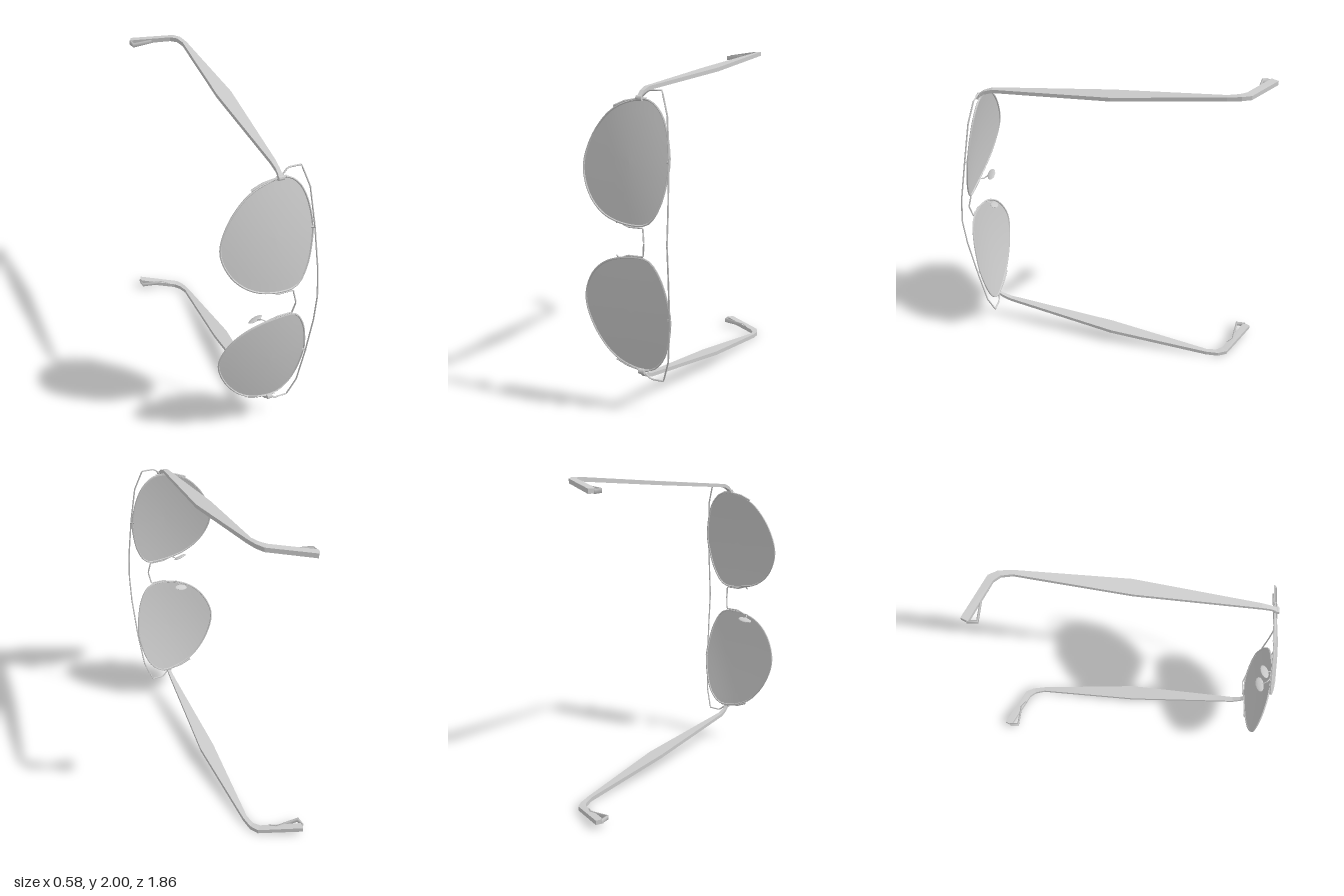
import * as THREE from 'three';

const V = (x, s, z) => new THREE.Vector3(x, s, z);

// Shared curvature of the wrapped lenses: s is the distance from the bridge plane
const lensZ = (x, s) => 0.905 - 0.03 * s - 0.14 * s * s - 0.45 * (x - 0.1) ** 2;

// Half-model outline of a lens as [x, s]
const OUTLINE = [
  [0.12, 0.765], [0, 0.757], [-0.12, 0.7], [-0.235, 0.56], [-0.287, 0.39], [-0.232, 0.235],
  [-0.12, 0.135], [0.035, 0.092], [0.155, 0.102], [0.222, 0.2], [0.262, 0.37], [0.267, 0.45],
  [0.236, 0.615], [0.19, 0.71],
];
const outlineCurve = new THREE.CatmullRomCurve3(OUTLINE.map(([x, s]) => V(x, s, lensZ(x, s))), true);

function indexed(positions, index) {
  const g = new THREE.BufferGeometry();
  g.setAttribute('position', new THREE.Float32BufferAttribute(positions, 3));
  g.setIndex(index);
  g.computeVertexNormals();
  return g;
}

// Curved disc made of concentric copies of the outline
function lensGeometry(segments = 40, rings = 6) {
  const pos = [], idx = [], cx = 0.03, cs = 0.43;
  for (let r = 0; r <= rings; r++) {
    for (let i = 0; i < segments; i++) {
      const p = outlineCurve.getPoint(i / segments), t = r / rings;
      const x = cx + (p.x - cx) * t, s = cs + (p.y - cs) * t;
      pos.push(x, s, lensZ(x, s));
      if (r < rings) {
        const a = r * segments + i, b = r * segments + (i + 1) % segments;
        if (r > 0) idx.push(a, a + segments, b);
        idx.push(b, a + segments, b + segments);
      }
    }
  }
  return indexed(pos, idx);
}

// Four-cornered sweep; each station is [upper x, upper z, lower x, lower z, s, thickness]
function bladeGeometry(stations) {
  const pos = [], idx = [];
  stations.forEach(([xa, za, xb, zb, s, t], i) => {
    const h = t / 2;
    pos.push(xa, s + h, za, xa, s - h, za, xb, s - h, zb, xb, s + h, zb);
    if (i === stations.length - 1) return;
    for (let k = 0; k < 4; k++) {
      const a = i * 4 + k, b = i * 4 + (k + 1) % 4;
      idx.push(a, b, b + 4, a, b + 4, a + 4);
    }
  });
  const e = (stations.length - 1) * 4;
  idx.push(0, 2, 1, 0, 3, 2, e, e + 1, e + 2, e, e + 2, e + 3);
  return indexed(pos, idx);
}

// Thin wire through straight runs
function wireGeometry(points, radius = 0.005) {
  const path = new THREE.CurvePath();
  for (let i = 1; i < points.length; i++) path.add(new THREE.LineCurve3(points[i - 1], points[i]));
  return new THREE.TubeGeometry(path, points.length * 8, radius, 5);
}

// Stands a half-model geometry above or below the bridge plane at y = 1
function place(geometry, side) {
  const g = geometry.clone();
  g.scale(1, side, 1).translate(0, 1, 0);
  if (side < 0) {
    const ix = g.index.array;
    for (let i = 0; i < ix.length; i += 3) [ix[i], ix[i + 1]] = [ix[i + 1], ix[i]];
  }
  g.computeVertexNormals();
  return g;
}

export function createModel() {
  const model = new THREE.Group();
  model.name = 'sunglasses';
  const flat = new THREE.MeshStandardMaterial({ color: 0xcccccc, flatShading: true });
  const thin = new THREE.MeshStandardMaterial({ color: 0xcccccc, side: THREE.DoubleSide });

  // Tilted oval pad beside the nose
  const pad = new THREE.SphereGeometry(1, 12, 8);
  pad.scale(0.048, 0.007, 0.027).rotateX(0.3).rotateY(0.15).rotateZ(-0.2).translate(-0.06, 0.122, 0.82);

  const parts = {
    lens: lensGeometry(),
    rim: new THREE.TubeGeometry(outlineCurve, 56, 0.006, 5, true),
    browBar: wireGeometry([
      V(0.06, 0.765, 0.805), V(0.12, 0.82, 0.795), V(0.2, 0.82, 0.8), V(0.245, 0.69, 0.832),
      V(0.27, 0.45, 0.868), V(0.283, 0.18, 0.91), V(0.284, 0, 0.927),
    ]),
    browJoint: wireGeometry([V(0.255, 0.44, 0.855), V(0.278, 0.44, 0.868)], 0.008),
    bridge: wireGeometry([
      V(-0.03, 0.105, 0.888), V(0.04, 0.08, 0.9), V(0.13, 0.08, 0.905), V(0.143, 0, 0.922),
    ]),
    nosePad: pad,
    nosePadArm: wireGeometry([
      V(-0.03, 0.102, 0.885), V(-0.05, 0.092, 0.87), V(-0.06, 0.118, 0.835),
    ], 0.004),
    endPiece: wireGeometry([
      V(-0.1, 0.728, 0.79), V(-0.03, 0.757, 0.793), V(0.06, 0.772, 0.8), V(0.11, 0.772, 0.8),
    ], 0.007),
    hinge: new THREE.CylinderGeometry(0.016, 0.016, 0.034, 10).rotateZ(Math.PI / 2).translate(0.068, 0.776, 0.81),
    // Slim at the hinge, broad half way, bent down behind the ear
    temple: bladeGeometry([
      [0.08, 0.815, 0.056, 0.815, 0.775, 0.022],
      [0.08, 0.775, 0.056, 0.775, 0.806, 0.022],
      [0.086, 0.72, 0.056, 0.72, 0.826, 0.022],
      [0.205, 0, 0.11, 0, 0.906, 0.024],
      [0.23, -0.65, 0.203, -0.65, 0.982, 0.026],
      [0.224, -0.73, 0.193, -0.715, 0.988, 0.026],
      [0.2, -0.785, 0.165, -0.755, 0.986, 0.026],
      [-0.04, -0.926, -0.062, -0.885, 0.958, 0.028],
    ]),
    // Thin loop under the ear end
    templeTipLoop: bladeGeometry([
      [0.12, -0.79, 0.12, -0.78, 0.975, 0.02],
      [0.085, -0.822, 0.085, -0.812, 0.97, 0.02],
      [-0.052, -0.84, -0.062, -0.832, 0.955, 0.026],
      [-0.052, -0.895, -0.062, -0.895, 0.955, 0.026],
    ]),
  };

  for (const [side, label] of [[1, 'upper'], [-1, 'lower']]) {
    const half = new THREE.Group();
    half.name = `${label}Half`;
    for (const [name, geometry] of Object.entries(parts)) {
      const isThin = name === 'lens' || name === 'templeTipLoop';
      const mesh = new THREE.Mesh(place(geometry, side), isThin ? thin : flat);
      mesh.name = name;
      half.add(mesh);
    }
    model.add(half);
  }
  return model;
}
